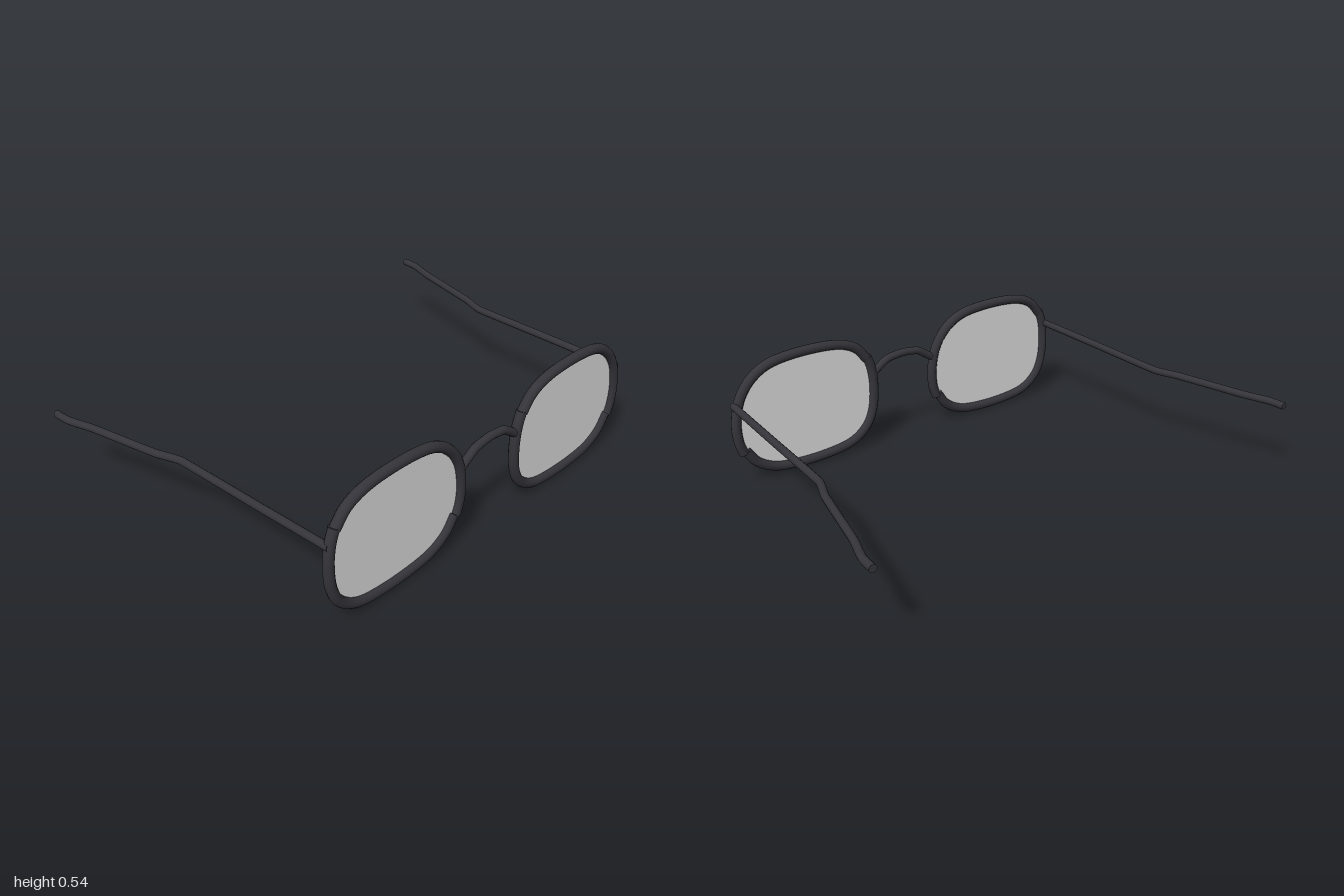
import * as THREE from 'three';

const frameMat = new THREE.MeshStandardMaterial({ color: 0x35343a });
frameMat.name = 'charcoal frame';
const lensMat = new THREE.MeshStandardMaterial({ color: 0xe1e1e1, side: THREE.DoubleSide });
lensMat.name = 'pale grey lens';

const FRONT_Z = 0.654;

// Round bar along a smooth path, closed with a flat disc at each end
function bar(name, points, radius, segments, tension = 0.5) {
  const group = new THREE.Group();
  group.name = name;
  const curve = new THREE.CatmullRomCurve3(points, false, 'catmullrom', tension);
  const tube = new THREE.Mesh(new THREE.TubeGeometry(curve, segments, radius, 12), frameMat);
  tube.name = name + 'Bar';
  group.add(tube);
  for (const t of [0, 1]) {
    const cap = new THREE.Mesh(new THREE.CircleGeometry(radius, 12), frameMat);
    const outward = curve.getTangent(t).multiplyScalar(t ? 1 : -1);
    cap.quaternion.setFromUnitVectors(new THREE.Vector3(0, 0, 1), outward);
    cap.position.copy(curve.getPoint(t));
    cap.name = name + 'End';
    group.add(cap);
  }
  return group;
}

// Rim halves as x, y measured from the lens centre line; their ends meet at two small joints
const upperRim = [[-0.298, 0.418], [-0.25, 0.475], [-0.18, 0.508], [-0.08, 0.523], [0.06, 0.523],
  [0.17, 0.505], [0.25, 0.457], [0.305, 0.38], [0.328, 0.28], [0.325, 0.2], [0.308, 0.143]];
const lowerRim = [[-0.3, 0.427], [-0.32, 0.365], [-0.328, 0.28], [-0.318, 0.18], [-0.28, 0.1],
  [-0.2, 0.045], [-0.08, 0.026], [0.06, 0.026], [0.17, 0.042], [0.25, 0.085], [0.298, 0.15]];

function eyepiece(side) {
  const group = new THREE.Group();
  group.name = side > 0 ? 'leftEyepiece' : 'rightEyepiece';
  const to3 = ([x, y]) => new THREE.Vector3(x, y, 0);
  group.add(bar('upperRim', upperRim.map(to3), 0.021, 60));
  group.add(bar('lowerRim', lowerRim.map(to3), 0.021, 60));

  // Thin lens filling the rim
  const outline = [...upperRim.slice(1, -1), ...lowerRim.slice().reverse()].map(to3);
  const edge = new THREE.CatmullRomCurve3(outline, true).getPoints(80);
  const shape = new THREE.Shape(edge.map((p) => new THREE.Vector2(p.x, p.y)));
  const lens = new THREE.Mesh(new THREE.ShapeGeometry(shape), lensMat);
  lens.name = 'lens';
  group.add(lens);

  group.position.set(side * 0.484, 0, FRONT_Z);
  return group;
}

// Temple arm, splayed outward behind the ear bend
function temple(side) {
  const path = [[0.813, 0.361, 0.66], [0.826, 0.353, 0.3], [0.838, 0.344, -0.08], [0.875, 0.343, -0.19],
    [0.943, 0.343, -0.49], [0.978, 0.343, -0.6], [0.984, 0.343, -0.675]];
  const points = path.map(([x, y, z]) => new THREE.Vector3(side * x, y, z));
  return bar(side > 0 ? 'leftTemple' : 'rightTemple', points, 0.0155, 60, 0.15);
}

export function createModel() {
  const model = new THREE.Group();
  model.name = 'eyeglasses';
  for (const side of [1, -1]) model.add(eyepiece(side), temple(side));

  // Arched nose bridge
  const arch = [[-0.155, 0.342], [-0.08, 0.39], [0, 0.4], [0.08, 0.39], [0.155, 0.342]];
  model.add(bar('bridge', arch.map(([x, y]) => new THREE.Vector3(x, y, FRONT_Z)), 0.017, 30, 0.2));
  return model;
}
